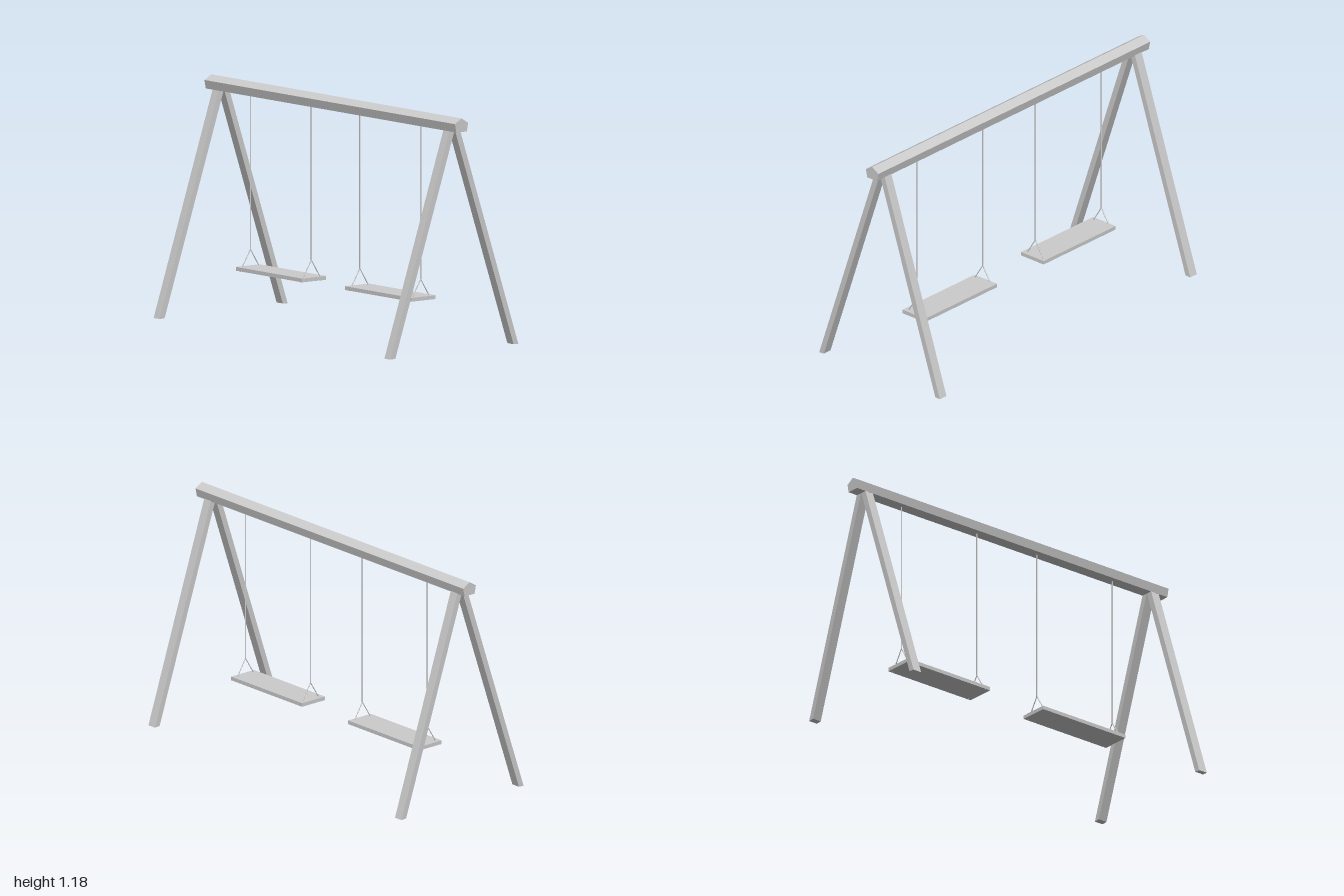
import * as THREE from 'three';

const material = new THREE.MeshStandardMaterial({ color: 0xcccccc, flatShading: true });

function addMesh(parent, name, geometry) {
  const mesh = new THREE.Mesh(geometry, material);
  mesh.name = name;
  parent.add(mesh);
  return mesh;
}

// Extrudes a [z, y] outline along x, centred on the given x
function profileAlongX(points, length, x = 0) {
  const shape = new THREE.Shape(points.map(([z, y]) => new THREE.Vector2(-z, y)));
  return new THREE.ExtrudeGeometry(shape, { depth: length, bevelEnabled: false })
    .translate(0, 0, -length / 2)
    .rotateY(Math.PI / 2)
    .translate(x, 0, 0);
}

// Thin cylinder between two points
function cord(a, b, radius) {
  const dir = b.clone().sub(a);
  const geometry = new THREE.CylinderGeometry(radius, radius, dir.length(), 8);
  geometry.applyQuaternion(
    new THREE.Quaternion().setFromUnitVectors(new THREE.Vector3(0, 1, 0), dir.normalize()));
  const mid = a.clone().add(b).multiplyScalar(0.5);
  return geometry.translate(mid.x, mid.y, mid.z);
}

// Seat board hung from two ropes, each splitting into a V at the bottom
function createSwing(x) {
  const swing = new THREE.Group();
  swing.name = 'swing';
  addMesh(swing, 'seat', new THREE.BoxGeometry(0.53, 0.019, 0.151).translate(x, 0.2435, -0.001));
  for (const side of [-1, 1]) {
    const rx = x + side * 0.243;
    const knot = new THREE.Vector3(rx, 0.338, -0.001);
    addMesh(swing, 'rope', cord(new THREE.Vector3(rx, 1.13, -0.001), knot, 0.0035));
    for (const s of [-1, 1]) {
      const end = new THREE.Vector3(rx, 0.231, -0.001 + s * 0.066);
      addMesh(swing, 'seatRope', cord(knot, end, 0.0025));
    }
  }
  return swing;
}

export function createModel() {
  const model = new THREE.Group();
  model.name = 'swingSet';

  // Five-sided top beam
  addMesh(model, 'topBeam', profileAlongX(
    [[0, 1.178], [-0.042, 1.153], [-0.033, 1.11], [0.033, 1.11], [0.042, 1.153]], 2));

  // Splayed legs at both ends
  for (const x of [-0.922, 0.92]) {
    const frame = new THREE.Group();
    frame.name = 'legFrame';
    addMesh(frame, 'frontLeg', profileAlongX(
      [[0.405, 0], [0.374, 0.002], [-0.001, 1.115], [0.031, 1.115]], 0.049, x));
    addMesh(frame, 'backLeg', profileAlongX(
      [[-0.403, 0.008], [-0.372, 0.01], [-0.001, 1.115], [-0.033, 1.115]], 0.049, x));
    model.add(frame);
  }

  // Two swings
  for (const x of [-0.443, 0.43]) model.add(createSwing(x));

  return model;
}
